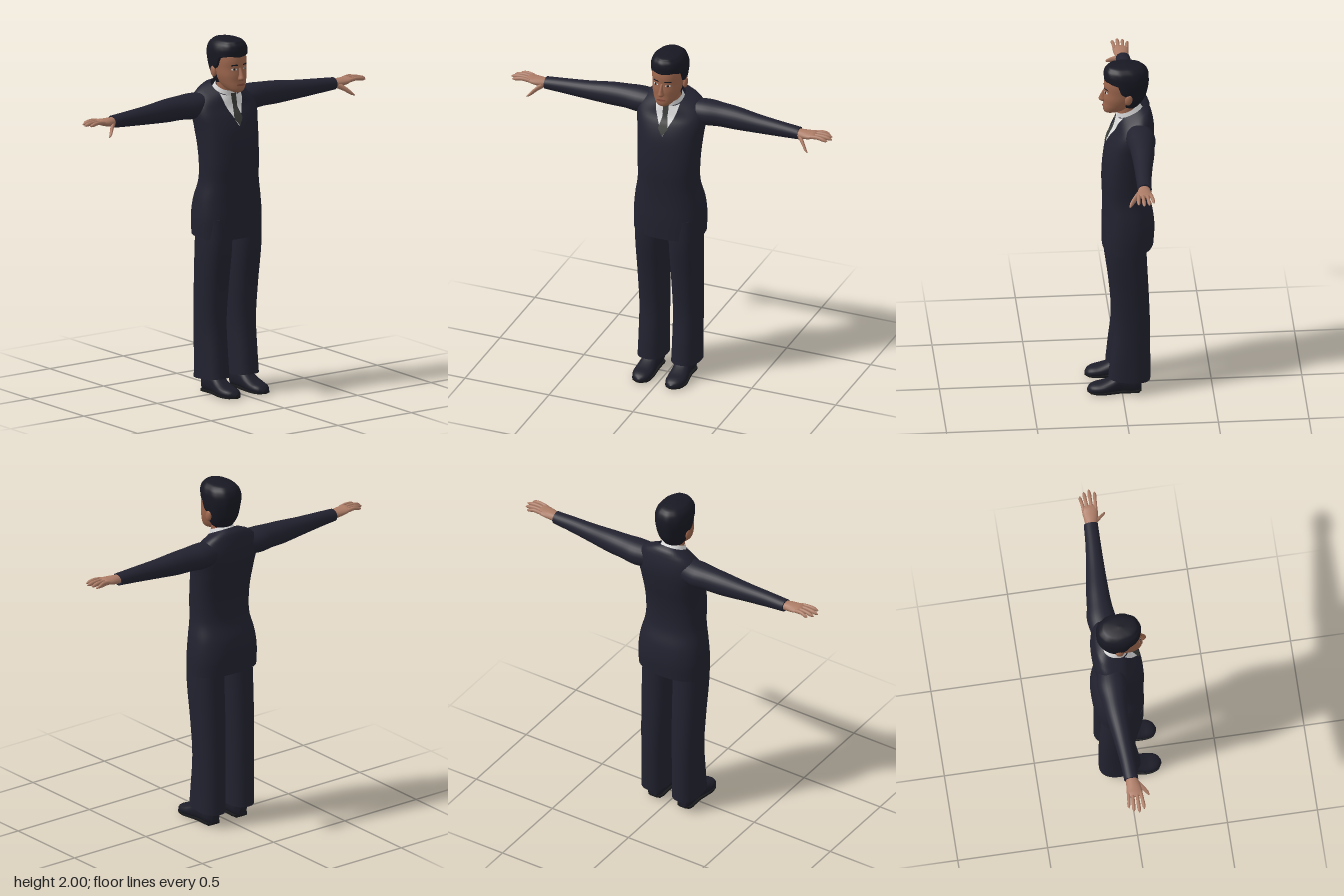
import * as THREE from 'three';

const colour = (name, hex) => Object.assign(new THREE.MeshStandardMaterial({ color: hex }), { name });

// Grid of points skinned into a surface; wraps round and closes its ends on request
function grid(nu, nv, point, wrap = true, cap = true) {
  const pos = [], idx = [], cols = wrap ? nv : nv + 1;
  for (let i = 0; i <= nu; i++) for (let j = 0; j < cols; j++) pos.push(...point(i / nu, j / nv));
  for (let i = 0; i < nu; i++) for (let j = 0; j < nv; j++) {
    const a = i * cols + j, b = i * cols + (j + 1) % cols, c = b + cols, d = a + cols;
    idx.push(a, b, c, a, c, d);
  }
  if (wrap && cap) for (const end of [0, nu]) {
    const start = pos.length / 3, mid = [0, 0, 0];
    for (let j = 0; j < nv; j++) {
      const q = pos.slice((end * cols + j) * 3, (end * cols + j) * 3 + 3);
      pos.push(...q);
      q.forEach((v, k) => { mid[k] += v / nv; });
    }
    pos.push(...mid);
    for (let j = 0; j < nv; j++) {
      const a = start + j, b = start + (j + 1) % nv;
      if (end) idx.push(a, b, start + nv); else idx.push(b, a, start + nv);
    }
  }
  const g = new THREE.BufferGeometry();
  g.setAttribute('position', new THREE.Float32BufferAttribute(pos, 3));
  g.setIndex(idx);
  g.computeVertexNormals();
  return g;
}

// Smooth interpolation of cross-section rows; the first number is the position along the axis
function profile(rows, size) {
  const full = rows.map(r => [...r, 0, 0, 0].slice(0, size));
  const spline = new THREE.CubicInterpolant(new Float32Array(full.map(r => r[0])),
    new Float32Array(full.flatMap(r => r.slice(1))), size - 1);
  return { at: t => Array.from(spline.evaluate(t)), lo: rows[0][0], hi: rows[rows.length - 1][0] };
}
const rounded = (v, p) => Math.sign(v) * Math.abs(v) ** (2 / p);

// Upright forms: rows of [y, half width, front z, back z, centre x, tilt]
function upright(rows, p = 2) {
  const f = profile(rows, 6);
  f.p = p;
  f.point = (y, a) => {
    const [rx, zf, zb, cx, tilt] = f.at(y), dz = (zf - zb) / 2 * rounded(Math.cos(a), p);
    return [cx + rx * rounded(Math.sin(a), p), y + tilt * dz, (zf + zb) / 2 + dz];
  };
  f.mesh = (nu = 24, nv = 36, cap = true) =>
    grid(nu, nv, (u, v) => f.point(f.lo + (f.hi - f.lo) * u, v * 2 * Math.PI), true, cap);
  return f;
}

// Sideways forms: rows of [x, centre y, centre z, radius y, radius z]
function sideways(rows, nu = 12, nv = 16) {
  const f = profile(rows, 5);
  return grid(nu, nv, (u, v) => {
    const x = f.lo + (f.hi - f.lo) * u, [cy, cz, ry, rz] = f.at(x), a = v * 2 * Math.PI;
    return [x, cy + ry * Math.cos(a), cz + rz * Math.sin(a)];
  });
}

// Thin plate lying on the front of an upright form; span(s) gives its left and right x
function plate(f, y0, y1, span, off, nu = 16, nv = 10) {
  return grid(nu, nv, (u, v) => {
    const y = y0 + (y1 - y0) * u, [xa, xb] = span(u), x = xa + (xb - xa) * v;
    const [rx, zf, zb, , tilt] = f.at(y);
    const k = Math.max(0, 1 - Math.abs(x / rx) ** f.p) ** (1 / f.p), dz = (zf - zb) / 2 * k;
    return [x, y + tilt * dz, (zf + zb) / 2 + dz + off];
  }, false);
}
const oval = (cx, w) => s => {
  const h = w * Math.sqrt(Math.max(0, 1 - (2 * s - 1) ** 2));
  return [cx - h, cx + h];
};
// Straight-line lookup in a list of [key, value]
function lookup(list, k) {
  let i = 1;
  while (i < list.length - 1 && list[i][0] < k) i++;
  const [a, va] = list[i - 1], [b, vb] = list[i];
  return THREE.MathUtils.mapLinear(THREE.MathUtils.clamp(k, a, b), a, b, va, vb);
}

export function createModel() {
  const suit = colour('suit cloth', 0x222230), hairMat = colour('hair', 0x181823);
  const face = colour('face skin', 0x9c664d), hand = colour('hand skin', 0xac7c66);
  const shirt = colour('shirt white', 0xdcdcdc), tieMat = colour('tie grey', 0x3b3d3a);
  const leather = colour('shoe leather', 0x1d1d29), soleMat = colour('sole', 0x18191b);
  const dark = colour('eye dark', 0x2a1c18), lip = colour('lips', 0x84493c);
  for (const m of [suit, hairMat, shirt, tieMat]) m.side = THREE.DoubleSide;

  const model = new THREE.Group();
  model.name = 'suitedMan';
  const add = (name, geo, mat) => {
    const m = new THREE.Mesh(geo, mat);
    m.name = name;
    model.add(m);
  };
  // Adds a part on the model's left and its mirror image on the right
  const both = (name, geo, mat) => {
    add(name + 'Left', geo, mat);
    const g = geo.clone().scale(-1, 1, 1), ix = g.index.array;
    for (let i = 0; i < ix.length; i += 3) [ix[i], ix[i + 1]] = [ix[i + 1], ix[i]];
    add(name + 'Right', g, mat);
  };

  // Jacket body, open at the hem, with a lining set back inside
  const torso = upright([
    [0.893, 0.204, 0.103, -0.18, 0, -0.08], [1.0, 0.205, 0.104, -0.185, 0, -0.04],
    [1.1, 0.195, 0.101, -0.173, 0, 0], [1.2, 0.176, 0.102, -0.142, 0, 0],
    [1.3, 0.175, 0.105, -0.138, 0, 0], [1.4, 0.179, 0.098, -0.15, 0, 0],
    [1.5, 0.187, 0.083, -0.172, 0, -0.04], [1.6, 0.198, 0.053, -0.183, 0, -0.2],
    [1.66, 0.18, 0.03, -0.167, 0, -0.42], [1.7, 0.12, 0.02, -0.148, 0, -0.5],
    [1.716, 0.076, 0.015, -0.125, 0, -0.5]], 2.4);
  add('jacketBody', torso.mesh(44, 48, false), suit);
  add('jacketLining', upright([[0.95, 0.19, 0.092, -0.168], [1.0, 0.19, 0.092, -0.168]], 2.4).mesh(2), suit);
  both('sleeve', sideways([
    [0.1, 1.622, -0.09, 0.065, 0.07], [0.2, 1.621, -0.097, 0.072, 0.08], [0.28, 1.622, -0.097, 0.067, 0.069],
    [0.36, 1.62, -0.095, 0.065, 0.063], [0.5, 1.617, -0.086, 0.053, 0.051],
    [0.65, 1.617, -0.077, 0.042, 0.042], [0.755, 1.617, -0.073, 0.034, 0.039]], 24, 28), suit);

  // Shirt front, collar and tie
  add('shirtFront', plate(torso, 1.522, 1.714, s => [-0.07 * s ** 0.9, 0.07 * s ** 0.9], 0.004), shirt);
  add('collar', upright([[1.68, 0.077, 0.018, -0.122, 0, -0.6], [1.73, 0.065, 0.021, -0.095, 0, -0.45]]).mesh(4, 36, false), shirt);
  const tieShape = [[0, 0], [0.25, 0.028], [0.72, 0.013], [0.8, 0.016], [1, 0.017]];
  add('tie', plate(torso, 1.526, 1.726, s => [-lookup(tieShape, s), lookup(tieShape, s)], 0.013, 24, 4), tieMat);

  // Trousers
  both('trouserLeg', upright([
    [0.086, 0.08, 0.076, -0.156, 0.1, 0.08], [0.2, 0.078, 0.065, -0.156, 0.1, 0.02],
    [0.4, 0.079, 0.046, -0.155, 0.1], [0.6, 0.085, 0.06, -0.148, 0.1],
    [0.85, 0.09, 0.09, -0.136, 0.1], [1.0, 0.088, 0.088, -0.13, 0.098]], 2.3).mesh(24, 32), suit);

  // Shoes: rows of [z, centre x, top y, half width]
  const shoe = profile([[-0.106, 0.096, 0.06, 0.022], [-0.09, 0.096, 0.105, 0.042], [-0.04, 0.096, 0.12, 0.045],
    [0.01, 0.096, 0.115, 0.046], [0.06, 0.098, 0.083, 0.052], [0.11, 0.1, 0.062, 0.056],
    [0.16, 0.098, 0.05, 0.046], [0.182, 0.097, 0.038, 0.028], [0.191, 0.096, 0.026, 0.008]], 4);
  both('shoe', grid(24, 24, (u, v) => {
    const z = -0.106 + 0.297 * u, [cx, top, w] = shoe.at(z), a = v * 2 * Math.PI;
    return [cx - w * rounded(Math.sin(a), 2.4), Math.max(0.012, top * (0.5 + 0.5 * rounded(Math.cos(a), 2.2))), z];
  }), leather);
  const soleOutline = new THREE.Shape();
  for (const side of [1, -1]) for (let i = 0; i <= 16; i++) {
    const t = side > 0 ? i / 16 : 1 - i / 16, z = -0.106 + 0.297 * t, [cx, , w] = shoe.at(z);
    const x = cx + side * (w + 0.001);
    if (side > 0 && i === 0) soleOutline.moveTo(x, -z); else soleOutline.lineTo(x, -z);
  }
  const sole = new THREE.ExtrudeGeometry(soleOutline, { depth: 0.01, bevelEnabled: false }).rotateX(-Math.PI / 2);
  sole.setIndex([...Array(sole.attributes.position.count).keys()]);
  both('sole', sole.translate(0, 0.005, 0), soleMat);
  both('heel', new THREE.BoxGeometry(0.076, 0.016, 0.07).translate(0.096, 0.008, -0.06), soleMat);

  // Hands with four fingers and a thumb
  both('palm', sideways([[0.74, 1.617, -0.072, 0.025, 0.03], [0.78, 1.62, -0.068, 0.024, 0.037],
    [0.82, 1.624, -0.067, 0.02, 0.043], [0.85, 1.63, -0.067, 0.014, 0.042], [0.862, 1.631, -0.067, 0.006, 0.036]]), hand);
  [[-0.1, -0.11, 0.922], [-0.078, -0.085, 0.946], [-0.055, -0.056, 0.955], [-0.034, -0.027, 0.938]].forEach(([z0, z1, tip], i) => {
    both('finger' + (i + 1), sideways([[0.835, 1.629, z0, 0.011, 0.0105], [0.88, 1.634, (z0 + z1) / 2, 0.0105, 0.0095],
      [tip - 0.01, 1.627, z1, 0.008, 0.0075], [tip, 1.625, z1, 0.002, 0.002]], 10, 10), hand);
  });
  both('thumb', sideways([[0.76, 1.612, -0.055, 0.018, 0.018], [0.79, 1.594, -0.026, 0.016, 0.015],
    [0.82, 1.568, 0.003, 0.011, 0.011], [0.836, 1.556, 0.013, 0.003, 0.004]], 10, 12), hand);

  // Head, neck and face
  const head = upright([[1.706, 0.024, 0.084, 0.03], [1.715, 0.04, 0.094, 0.0], [1.74, 0.06, 0.098, -0.05],
    [1.77, 0.073, 0.095, -0.075], [1.8, 0.081, 0.095, -0.095], [1.84, 0.085, 0.09, -0.115],
    [1.88, 0.087, 0.091, -0.125], [1.92, 0.084, 0.082, -0.13], [1.96, 0.068, 0.06, -0.11], [1.985, 0.03, 0.02, -0.06]], 2.2);
  add('head', head.mesh(32, 40), face);
  add('neck', upright([[1.64, 0.06, 0.01, -0.1], [1.72, 0.058, 0.016, -0.09], [1.8, 0.06, 0.02, -0.085]]).mesh(6, 28), face);
  add('nose', upright([[1.774, 0.012, 0.108, 0.07], [1.784, 0.019, 0.121, 0.07], [1.8, 0.014, 0.117, 0.07],
    [1.83, 0.009, 0.103, 0.07], [1.848, 0.009, 0.092, 0.07]]).mesh(12, 16), face);
  both('ear', new THREE.SphereGeometry(1, 14, 12).scale(0.013, 0.032, 0.021).rotateX(-0.2).translate(0.089, 1.815, -0.038), face);
  both('eyeWhite', plate(head, 1.833, 1.846, oval(0.036, 0.015), 0.002), shirt);
  both('iris', plate(head, 1.833, 1.846, oval(0.036, 0.0065), 0.003), dark);
  both('eyebrow', plate(head, 1.859, 1.867, s => [0.016 + 0.004 * s, 0.058 - 0.012 * s], 0.003, 3), hairMat);
  add('mouth', plate(head, 1.744, 1.757, oval(0, 0.027), 0.003), lip);

  // Hair: a shell rising from a hairline that dips behind the ears
  const hair = upright([[1.73, 0.055, 0.08, -0.085], [1.76, 0.074, 0.09, -0.11], [1.8, 0.086, 0.095, -0.135],
    [1.86, 0.096, 0.093, -0.151], [1.91, 0.099, 0.09, -0.157], [1.95, 0.095, 0.092, -0.15],
    [1.98, 0.076, 0.077, -0.128], [1.994, 0.048, 0.05, -0.095], [2.0, 0.004, -0.015, -0.03]], 2.2);
  const hairline = [[0, 1.905], [0.6, 1.912], [1.2, 1.9], [1.42, 1.845], [1.65, 1.835], [1.8, 1.775], [2.1, 1.745], [3.15, 1.738]];
  add('hair', grid(28, 64, (u, v) => {
    const a = v * 2 * Math.PI, low = lookup(hairline, Math.min(a, 2 * Math.PI - a));
    if (u === 0) {
      const [x, y, z] = head.point(low, a);
      return [x * 0.96, y, -0.02 + (z + 0.02) * 0.96];
    }
    const t = (u * 28 - 1) / 27, y = low + (2 - low) * Math.sin(t * Math.PI / 2), [x, , z] = hair.point(y, a);
    const wave = 1 + 0.014 * Math.sin(9 * a + 5 * t) * Math.sin(Math.PI * t);
    return [x * wave, y, -0.03 + (z + 0.03) * wave];
  }), hairMat);

  return model;
}
